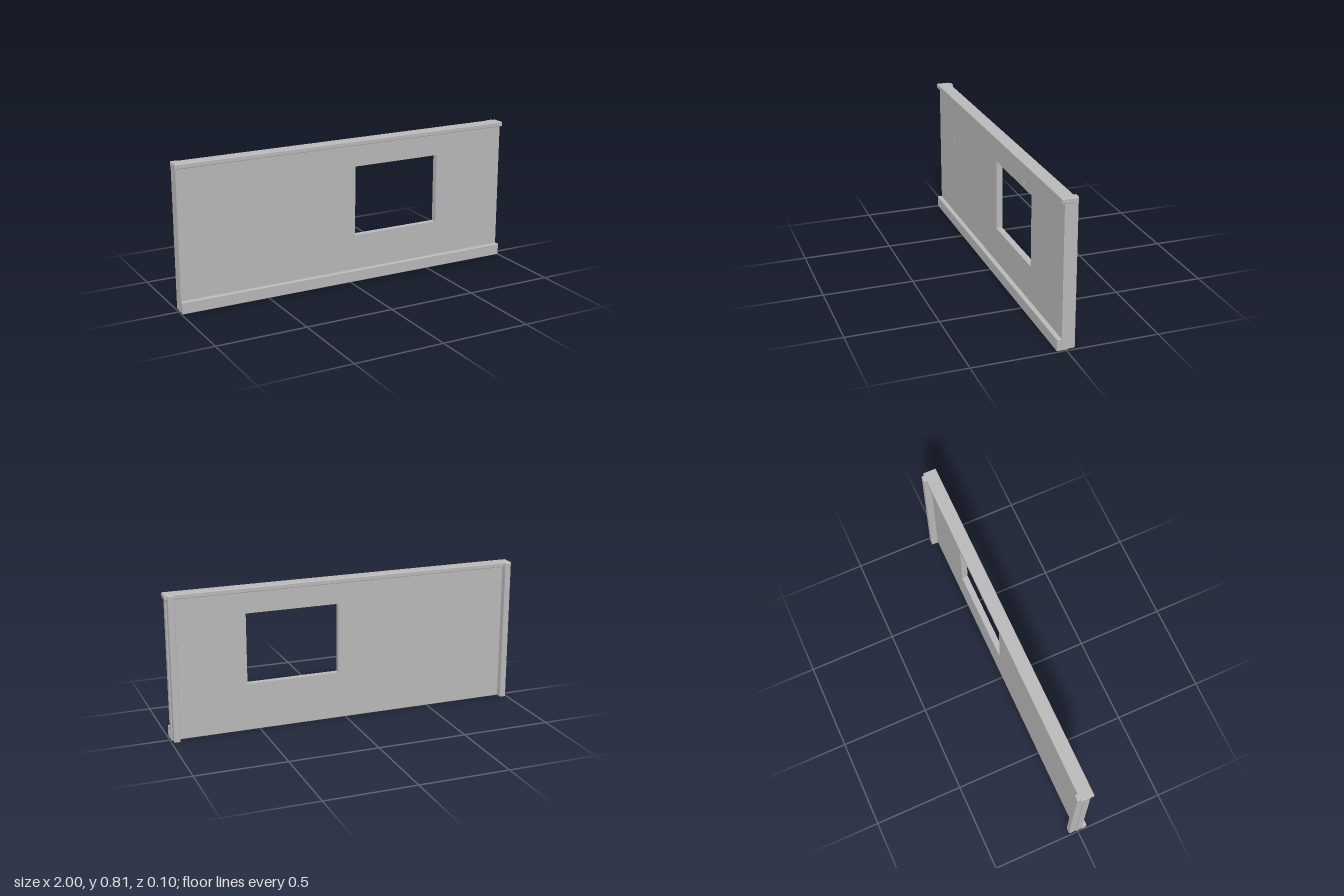
import * as THREE from 'three';
import { RoundedBoxGeometry } from 'three/addons/geometries/RoundedBoxGeometry.js';

export function createModel() {
  const model = new THREE.Group();
  model.name = 'wallPanel';
  const grey = new THREE.MeshStandardMaterial({ color: 0xb8b8b8 });
  grey.name = 'plain grey';

  const add = (name, geometry) => {
    const mesh = new THREE.Mesh(geometry, grey);
    mesh.name = name;
    model.add(mesh);
  };

  // Box given by its lower and upper corners, with softened edges
  const bar = (name, [x0, y0, z0], [x1, y1, z1], radius = 0.004) => {
    const size = [x1 - x0, y1 - y0, z1 - z0];
    const geometry = radius ? new RoundedBoxGeometry(...size, 2, radius) : new THREE.BoxGeometry(...size);
    add(name, geometry.translate((x0 + x1) / 2, (y0 + y1) / 2, (z0 + z1) / 2));
  };

  const rectangle = (path, x0, y0, x1, y1) =>
    path.moveTo(x0, y0).lineTo(x1, y0).lineTo(x1, y1).lineTo(x0, y1).closePath();

  // Wall slab with its window opening
  const outline = new THREE.Shape();
  rectangle(outline, -0.994, 0.002, 0.993, 0.79);
  const opening = new THREE.Path();
  rectangle(opening, 0.04, 0.265, 0.565, 0.66);
  outline.holes.push(opening);
  const slab = new THREE.ExtrudeGeometry(outline, { depth: 0.035, bevelEnabled: false });
  add('wall', slab.translate(0, 0, -0.011));

  // Rails along the top and the foot of the wall
  bar('topCap', [-1, 0.781, -0.035], [1, 0.807, 0.04]);
  bar('baseboard', [-0.997, 0.002, 0.024], [0.997, 0.068, 0.051]);

  // Upright posts behind both ends
  bar('rightPost', [-0.992, 0, -0.05], [-0.957, 0.805, -0.01]);
  bar('leftPost', [0.952, 0, -0.05], [0.987, 0.805, -0.01]);

  // Tiny fins standing proud of the front face
  for (const [x, y, height] of [[-0.95, 0.752, 0.028], [-0.71, 0.517, 0.026], [0.46, 0.682, 0.018]]) {
    bar('frontFin', [x, y, 0.023], [x + 0.003, y + height, 0.028], 0);
  }

  return model;
}
